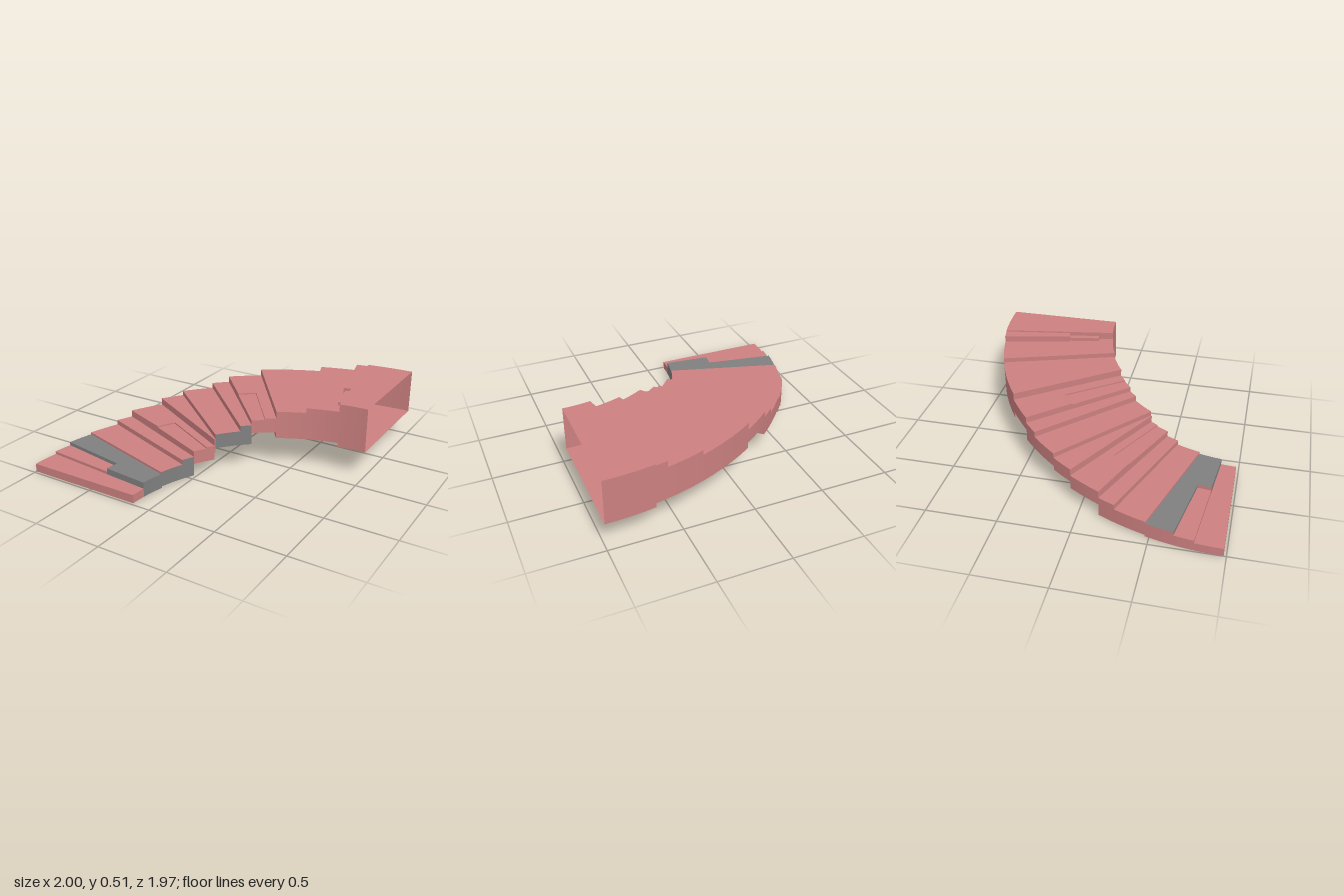
import * as THREE from 'three';

const RED = new THREE.MeshStandardMaterial({ color: 0xcc8080, side: THREE.DoubleSide, flatShading: true });
const GREY = new THREE.MeshStandardMaterial({ color: 0x808080, side: THREE.DoubleSide, flatShading: true });
const R_IN = 1.14, R_OUT = 2, SEG = 5;

// point on the curve: radius, angle in degrees from the foot of the flight
function point(r, deg, y) {
  const a = THREE.MathUtils.degToRad(deg);
  return [1 - r * Math.cos(a), y, 1 - 0.993 * r * Math.sin(a)];
}

// Curved block between two edges, each given as [angle at outer rim, angle at inner rim].
// frontLow: lowest height of the front riser; back: close the far end.
function block(name, start, end, y0, y1, o = {}) {
  const { r0 = R_IN, r1 = R_OUT, top = RED, inner = RED, frontLow = y0, back = true } = o;
  const group = new THREE.Group();
  group.name = name;
  const faces = new Map([[RED, []], [GREY, []]]);
  const quad = (mat, a, b, c, d) => faces.get(mat).push(...a, ...b, ...c, ...a, ...c, ...d);
  const at = (r, t, y) => {
    const k = (R_OUT - r) / (R_OUT - R_IN);
    const edge = (e) => e[0] + (e[1] - e[0]) * k;
    return point(r, edge(start) + (edge(end) - edge(start)) * t, y);
  };
  for (let i = 0; i < SEG; i++) {
    const t = i / SEG, u = (i + 1) / SEG;
    quad(top, at(r0, t, y1), at(r0, u, y1), at(r1, u, y1), at(r1, t, y1));
    quad(RED, at(r0, t, y0), at(r1, t, y0), at(r1, u, y0), at(r0, u, y0));
    quad(RED, at(r1, t, y0), at(r1, t, y1), at(r1, u, y1), at(r1, u, y0));
    quad(inner, at(r0, t, y0), at(r0, u, y0), at(r0, u, y1), at(r0, t, y1));
  }
  quad(top, at(r1, 0, frontLow), at(r0, 0, frontLow), at(r0, 0, y1), at(r1, 0, y1));
  if (back) quad(RED, at(r0, 1, y0), at(r1, 1, y0), at(r1, 1, y1), at(r0, 1, y1));
  for (const [mat, pos] of faces) {
    if (!pos.length) continue;
    const g = new THREE.BufferGeometry();
    g.setAttribute('position', new THREE.Float32BufferAttribute(pos, 3));
    g.computeVertexNormals();
    const mesh = new THREE.Mesh(g, mat);
    mesh.name = name + (mat === GREY ? 'Grey' : 'Red');
    group.add(mesh);
  }
  return group;
}

export function createModel() {
  const model = new THREE.Group();
  model.name = 'curvedStair';
  const add = (...args) => model.add(block(...args));
  const grey = { inner: GREY };

  // foot of the flight, with the grey tread wrapping a lower outer landing
  add('firstStep', [0.5, 0.9], [6, 6.3], 0, 0.06);
  add('secondStepOuter', [6, 6.3], [9.9, 9.9], 0, 0.08, { r0: 1.48 });
  add('greyTreadInner', [6, 6.3], [9.9, 9.9], 0, 0.105, { r1: 1.48, top: GREY, inner: GREY });
  add('greyTread', [9.9, 9.9], [15.4, 14.5], 0, 0.105, { top: GREY, inner: GREY });

  // lower steps
  add('lowerStep1', [15.4, 14.5], [22.1, 23.4], 0.012, 0.12, grey);
  add('lowerStep2', [22.1, 23.4], [25.7, 28], 0.012, 0.155, grey);

  // step with a slightly sunken inner patch
  add('recessedStepOuter', [25.7, 28], [31, 33], 0.1, 0.205, { r0: 1.63 });
  add('recessedStepPatch', [25.7, 28], [31, 33], 0.1, 0.196, { r1: 1.63 });
  add('recessedStepRear', [31, 33], [33, 36], 0.1, 0.205);

  // middle steps
  add('wedgeStep', [33, 36], [38.1, 36.4], 0.155, 0.255);
  add('middleStep1', [38.1, 36.4], [45, 45.5], 0.185, 0.29, grey);
  add('middleStep2', [45, 45.5], [48.8, 49.5], 0.185, 0.33, grey);

  // second step with a sunken inner patch
  add('upperRecessedOuter', [48.8, 49.5], [53.7, 54.2], 0.27, 0.375, { r0: 1.63 });
  add('upperRecessedPatch', [48.8, 49.5], [53.7, 54.2], 0.27, 0.365, { r1: 1.63 });
  add('upperRecessedRear', [53.7, 54.2], [56.2, 58.2], 0.27, 0.375);

  // hollow upper run, open at the far end
  add('upperStep1', [56.2, 58.2], [69.8, 68.5], 0.225, 0.425, { back: false });
  add('upperStep2', [69.8, 68.5], [80.2, 80], 0.225, 0.46, { frontLow: 0.425, back: false });
  add('topLanding', [80.2, 80], [90, 90], 0.195, 0.515, { frontLow: 0.46, back: false });
  add('landingUnderRiser', [80.2, 80], [80.4, 80.2], 0.195, 0.225);

  // raised strips in front of the landing
  add('landingStrip', [77.7, 77.9], [80.2, 80], 0.46, 0.505, { r0: 1.48 });
  add('landingLedge', [78.6, 78.2], [80.2, 80], 0.46, 0.485, { r0: 1.25, r1: 1.48 });
  return model;
}
